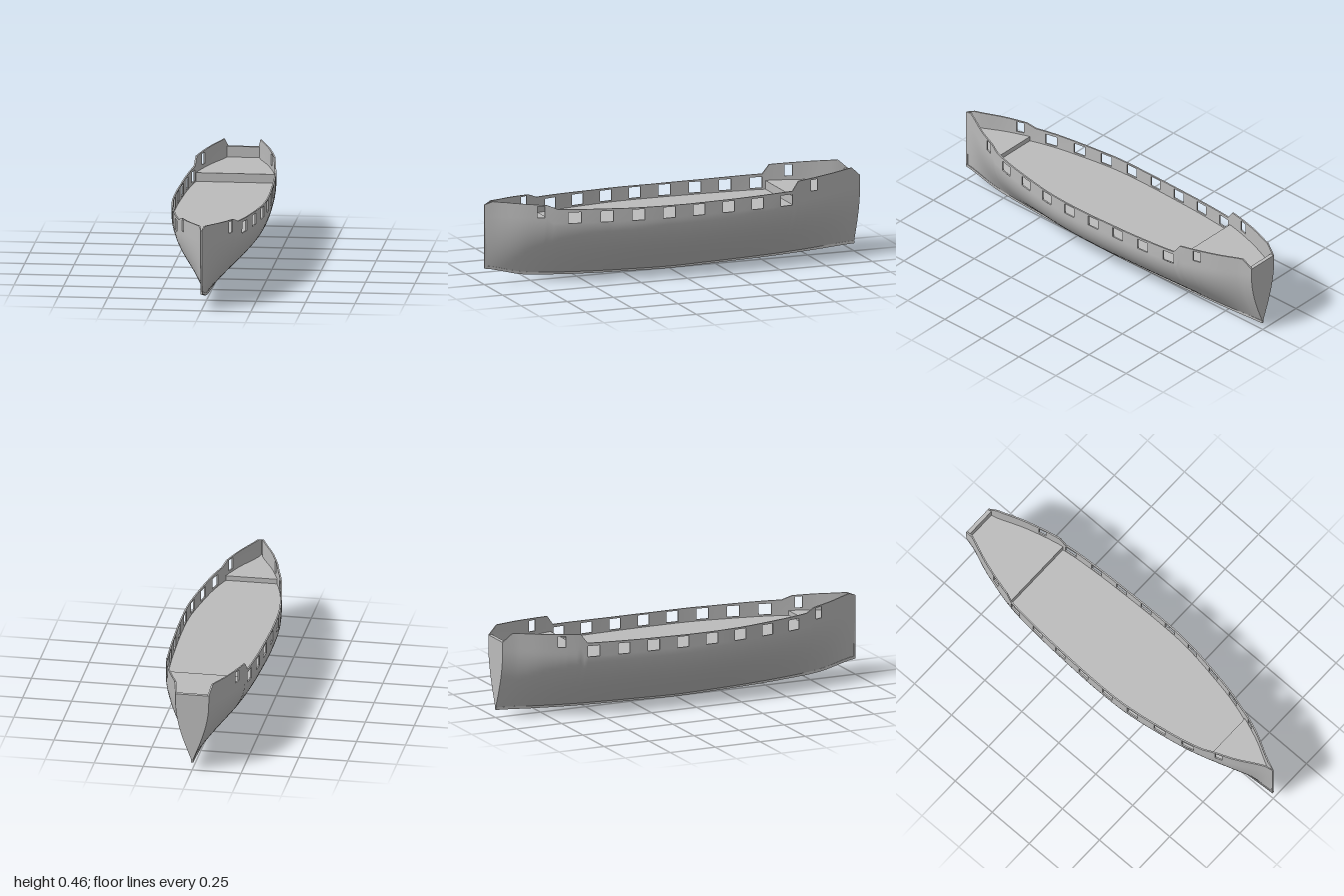
import * as THREE from 'three';

const hullGrey = new THREE.MeshStandardMaterial({ color: 0xbbbbbb, side: THREE.DoubleSide });
hullGrey.name = 'hull grey';

const WALL = 0.008;
// Values spaced evenly from stern (z = -1) to bow (z = 1)
const spline = (values) => {
  const c = new THREE.SplineCurve(values.map((v, i) => new THREE.Vector2(i, v)));
  return (z) => c.getPoint(THREE.MathUtils.clamp((z + 1) / 2, 0, 1)).y;
};
const beam = spline([0.085, 0.155, 0.206, 0.226, 0.235, 0.24, 0.235, 0.208, 0.168, 0.098, 0.003]);
const keelY = spline([0.04, 0.027, 0.016, 0.009, 0.004, 0, 0.004, 0.01, 0.02, 0.037, 0.083]);

// Top edge of the bulwark, as [z, y]
const sheer = [[-1, 0.41], [-0.95, 0.455], [-0.62, 0.437], [-0.585, 0.39], [-0.3, 0.384], [0, 0.381],
  [0.3, 0.383], [0.66, 0.391], [0.71, 0.412], [0.96, 0.428], [1, 0.412]];
const railY = (z) => {
  let i = 0;
  while (i < sheer.length - 2 && z > sheer[i + 1][0]) i++;
  const [z0, y0] = sheer[i], [z1, y1] = sheer[i + 1];
  return y0 + (y1 - y0) * (z - z0) / (z1 - z0);
};

// Half-width of the hull at any station and height
const halfWidth = (z, y) => {
  const bottom = keelY(z) + 0.006;
  const full = 0.31 + 0.06 * z * z;
  const t = THREE.MathUtils.clamp((y - bottom) / (full - bottom), 0, 1);
  return beam(z) * Math.sin(t * Math.PI / 2);
};

// Gun ports as [start z, end z]
const ports = [[-0.735, -0.695], [0.722, 0.758]];
for (let i = 0; i < 8; i++) {
  const z = 0.577 - i * 0.1613;
  ports.push([z - 0.032, z + 0.032]);
}
// Height band in which the ports lie
const band = (z) => {
  const [lo, hi] = z > 0.68 ? [0.348, 0.407] : z < -0.6 ? [0.375, 0.432] : [0.318, 0.374];
  return [lo, Math.min(hi, railY(z) - 0.004)];
};

const special = [...ports.flat(), ...sheer.map((p) => p[0])];
const stations = [...special];
for (let i = 0; i <= 50; i++) {
  const z = -1 + i * 0.04;
  if (special.every((s) => Math.abs(s - z) > 0.012)) stations.push(z);
}
stations.sort((a, b) => a - b);
const isPort = (z) => ports.some(([a, b]) => z > a && z < b);

function mesh(name, geometry) {
  const m = new THREE.Mesh(geometry, hullGrey);
  m.name = name;
  return m;
}

function buffer(positions, index) {
  const g = new THREE.BufferGeometry();
  g.setAttribute('position', new THREE.Float32BufferAttribute(positions, 3));
  if (index) g.setIndex(index);
  g.computeVertexNormals();
  return g;
}

// One skin of the hull with port openings; the last three rows are port sill, port head and rail
function skin(side, inset, lowRows, startY) {
  const pos = [], idx = [], rows = lowRows + 3;
  stations.forEach((z) => {
    const [lo, hi] = band(z), y0 = startY(z);
    for (let j = 0; j < rows; j++) {
      const y = j <= lowRows ? y0 + (lo - y0) * j / lowRows : j === lowRows + 1 ? hi : railY(z);
      pos.push(side * Math.max(0, halfWidth(z, y) - inset), y, z);
    }
  });
  const flip = (side < 0) !== (inset > 0);
  for (let i = 0; i < stations.length - 1; i++) {
    const open = isPort((stations[i] + stations[i + 1]) / 2);
    for (let j = 0; j < rows - 1; j++) {
      if (open && j === lowRows) continue;
      const a = i * rows + j, b = a + rows;
      if (flip) idx.push(a, b, a + 1, b, b + 1, a + 1);
      else idx.push(a, a + 1, b, b, a + 1, b + 1);
    }
  }
  return buffer(pos, idx);
}

// Strip through the wall thickness between two [z, y] points
function wallQuad(out, side, [z0, y0], [z1, y1]) {
  const at = (z, y, inset) => [side * Math.max(0, halfWidth(z, y) - inset), y, z];
  const a = at(z0, y0, 0), b = at(z1, y1, 0), c = at(z1, y1, WALL), d = at(z0, y0, WALL);
  if (side > 0) out.push(...a, ...c, ...b, ...a, ...d, ...c);
  else out.push(...a, ...b, ...c, ...a, ...c, ...d);
}

// Deck slab fitted inside the hull
function deck(z0, z1, y0, y1) {
  const right = [], left = [];
  for (let i = 0; i <= 40; i++) {
    const z = z0 + (z1 - z0) * i / 40;
    const w = Math.max(0.001, halfWidth(z, y0) - 0.003);
    right.push(new THREE.Vector2(w, -z));
    left.unshift(new THREE.Vector2(-w, -z));
  }
  const g = new THREE.ExtrudeGeometry(new THREE.Shape([...right, ...left]), { depth: y1 - y0, bevelEnabled: false });
  return g.rotateX(-Math.PI / 2).translate(0, y0, 0);
}

export function createModel() {
  const ship = new THREE.Group();
  ship.name = 'ship hull';

  for (const side of [1, -1]) {
    const label = side > 0 ? 'left' : 'right';
    ship.add(mesh(label + ' planking', skin(side, 0, 18, (z) => keelY(z) + 0.006)));
    ship.add(mesh(label + ' bulwark lining', skin(side, WALL, 2, () => 0.295)));

    const rail = [];
    for (let i = 0; i < stations.length - 1; i++) {
      const [a, b] = [stations[i], stations[i + 1]];
      wallQuad(rail, side, [a, railY(a)], [b, railY(b)]);
    }
    ship.add(mesh(label + ' rail', buffer(rail)));

    const frames = [];
    for (const [a, b] of ports) {
      const [lo, hi] = band((a + b) / 2);
      const corners = [[a, lo], [b, lo], [b, hi], [a, hi]];
      corners.forEach((p, k) => wallQuad(frames, side, p, corners[(k + 1) % 4]));
    }
    ship.add(mesh(label + ' port frames', buffer(frames)));
  }

  // Decks
  ship.add(mesh('main deck', deck(-0.61, 0.7, 0.3, 0.31)));
  ship.add(mesh('quarterdeck', deck(-0.985, -0.6, 0.31, 0.355)));
  ship.add(mesh('foredeck', deck(0.69, 0.985, 0.305, 0.335)));

  // Flat stern
  const edge = [];
  for (let i = 0; i <= 20; i++) {
    const y = 0.046 + (0.41 - 0.046) * i / 20;
    edge.push(new THREE.Vector2(halfWidth(-1, y), y));
  }
  const outline = [...edge, ...edge.slice(1).reverse().map((p) => new THREE.Vector2(-p.x, p.y))];
  const transom = new THREE.ExtrudeGeometry(new THREE.Shape(outline), { depth: 0.02, bevelEnabled: false });
  ship.add(mesh('transom', transom.translate(0, 0, -1)));

  // Keel bent along the bottom curve
  const keel = new THREE.BoxGeometry(0.01, 0.014, 2, 1, 1, 50);
  const p = keel.attributes.position;
  for (let i = 0; i < p.count; i++) p.setY(i, p.getY(i) + 0.007 + keelY(p.getZ(i)));
  keel.computeVertexNormals();
  ship.add(mesh('keel', keel));

  // Upright stem at the bow
  ship.add(mesh('stem', new THREE.BoxGeometry(0.008, 0.327, 0.01).translate(0, 0.2475, 0.995)));

  return ship;
}
